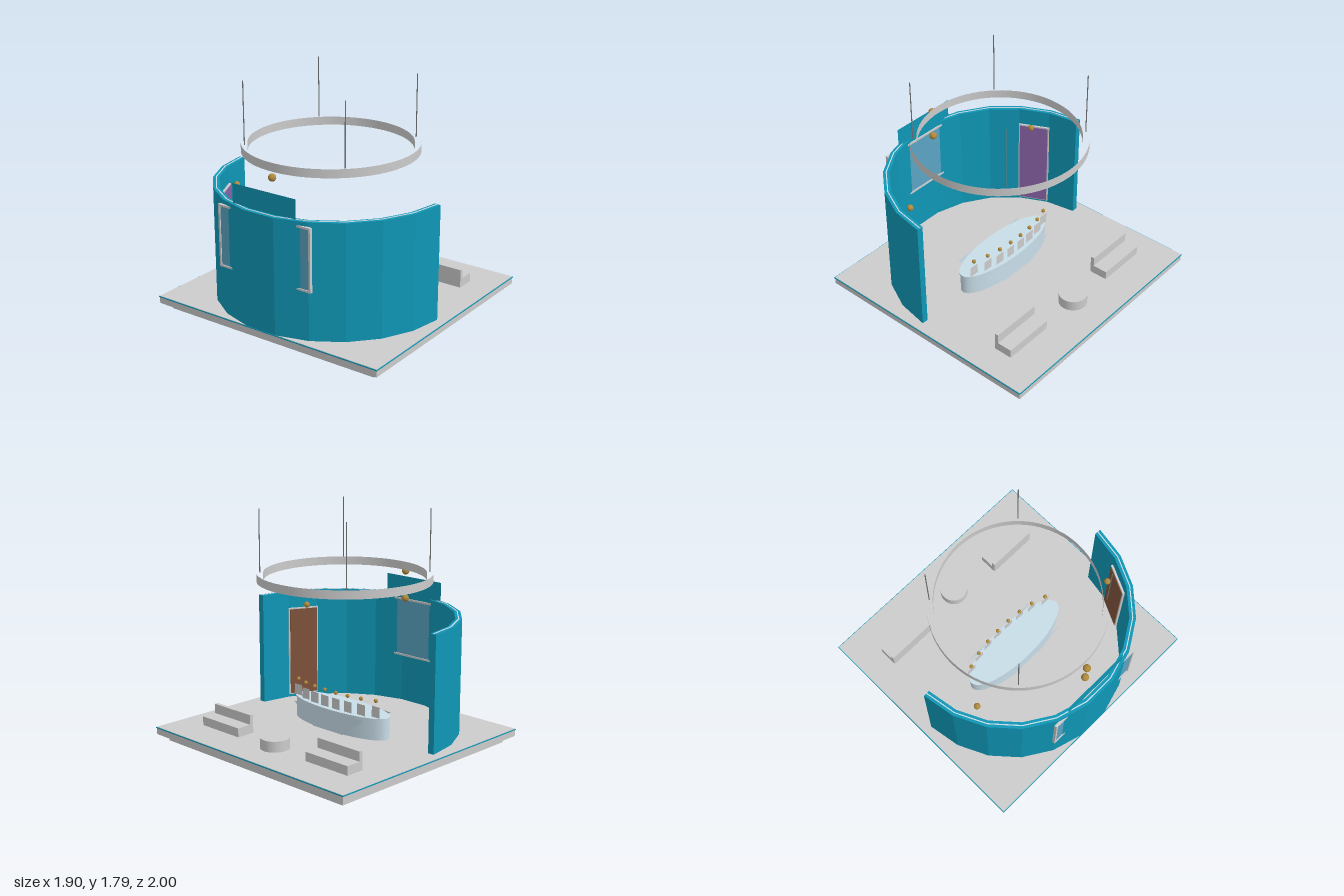
import * as THREE from 'three';

const mat = (color, side = THREE.FrontSide, flatShading = false) =>
  new THREE.MeshStandardMaterial({ color, side, flatShading });
const GREY = mat(0xcccccc);
const TEAL = mat(0x0f97b6);
const TEAL_THIN = mat(0x0f97b6, THREE.DoubleSide);
const PALE = mat(0xc8dde8);
const PALE_THIN = mat(0xc8dde8, THREE.DoubleSide);
const GOLD = mat(0xb08a3c, THREE.FrontSide, true);
const FLOOR = 0.11;

export function createModel() {
  const model = new THREE.Group();
  const add = (name, geo, material, x = 0, y = 0, z = 0, parent = model) => {
    const m = new THREE.Mesh(geo, material);
    m.name = name;
    m.position.set(x, y, z);
    parent.add(m);
    return m;
  };
  // Box given by its minimum and maximum corners
  const box = (name, material, [x0, y0, z0], [x1, y1, z1], parent) =>
    add(name, new THREE.BoxGeometry(x1 - x0, y1 - y0, z1 - z0), material,
      (x0 + x1) / 2, (y0 + y1) / 2, (z0 + z1) / 2, parent);
  const ball = (name, r, x, y, z) => add(name, new THREE.IcosahedronGeometry(r, 1), GOLD, x, y, z);

  // Stepped platform with a thin coloured edge
  box('plinth', GREY, [-0.88, 0, -0.93], [0.88, 0.05, 0.93]);
  box('floorSlab', GREY, [-0.945, 0.05, -0.995], [0.945, FLOOR, 0.995]);
  box('floorEdgeTrim', TEAL, [-0.95, 0.1, -1], [0.95, 0.107, 1]);

  // Faceted curved wall, open towards +x
  const wallX = -0.034, half = 1.54, sides = 11;
  const arcWall = (r0, r1, height) => {
    const pts = [];
    for (let i = 0; i <= sides; i++) {
      const a = Math.PI - half + (2 * half * i) / sides;
      pts.push(new THREE.Vector2(r1 * Math.cos(a), r1 * Math.sin(a)));
    }
    for (let i = sides; i >= 0; i--) {
      const a = Math.PI - half + (2 * half * i) / sides;
      pts.push(new THREE.Vector2(r0 * Math.cos(a), r0 * Math.sin(a)));
    }
    return new THREE.ExtrudeGeometry(new THREE.Shape(pts), { depth: height, bevelEnabled: false })
      .rotateX(-Math.PI / 2);
  };
  add('curvedWall', arcWall(0.875, 0.925, 0.89), TEAL, wallX, FLOOR, 0);
  add('wallTopStrip', arcWall(0.896, 0.904, 0.004), PALE, wallX, 1, 0);

  // Upright sign panel behind the wall's middle
  add('signPanel', new THREE.PlaneGeometry(0.56, 0.26).rotateY(Math.PI / 2), TEAL_THIN, -0.89, 1.02, 0);

  // Flat window passing through the wall
  const win = new THREE.Group();
  win.name = 'window';
  model.add(win);
  box('windowGlass', mat(0x5aa3c2), [-0.895, 0.5, -0.4], [-0.887, 0.96, 0.4], win);
  for (const y of [0.49, 0.955]) box('windowRail', GREY, [-0.903, y, -0.41], [-0.88, y + 0.015, 0.41], win);
  for (const z of [-0.41, 0.395]) box('windowPost', GREY, [-0.903, 0.49, z], [-0.88, 0.97, z + 0.015], win);

  // Framed coloured panels on the inner wall faces
  const panelAngle = (2 * half / sides) * 4;
  for (const [s, color] of [[1, 0x80553c], [-1, 0x8a62a8]]) {
    const a = s * panelAngle, g = new THREE.Group();
    g.name = 'wallPanel';
    g.position.set(wallX - 0.858 * Math.cos(a), 0.5, 0.858 * Math.sin(a));
    g.rotation.y = Math.atan2(Math.cos(a), -Math.sin(a));
    add('panelFrame', new THREE.BoxGeometry(0.25, 0.73, 0.016), GREY, 0, 0, 0, g);
    add('panelFace', new THREE.BoxGeometry(0.23, 0.71, 0.008), mat(color), 0, 0, 0.01, g);
    model.add(g);
  }

  // Oval counter with flat tapering side panels
  const oval = (rx, rz, h) => new THREE.CylinderGeometry(1, 1, h, 48).scale(rx, 1, rz);
  add('counterBody', oval(0.152, 0.472, 0.155), PALE, -0.068, 0.1875, 0);
  add('counterTop', oval(0.157, 0.48, 0.015), PALE, -0.068, 0.2725, 0);
  const sideShape = new THREE.Shape([[-0.16, FLOOR], [0.16, FLOOR], [0.365, 0.265], [-0.365, 0.265]]
    .map(p => new THREE.Vector2(...p)));
  for (const x of [-0.222, 0.086])
    add('counterSidePanel', new THREE.ShapeGeometry(sideShape).rotateY(Math.PI / 2), PALE_THIN, x, 0, 0);

  // Row of small cards with a gold bead over each
  const thinGrey = mat(0xcccccc, THREE.DoubleSide);
  [[0.058, 0.059], [0.05, 0.176], [0.03, 0.294], [-0.005, 0.411]].forEach(([x, z]) => {
    for (const s of [-1, 1]) {
      add('counterCard', new THREE.PlaneGeometry(0.08, 0.085).rotateY(Math.PI / 2), thinGrey, x, 0.327, s * z);
      ball('counterBead', 0.016, x, 0.415, s * z);
    }
  });

  // Larger gold wall lamps
  ball('lampUpper', 0.03, -0.79, 1.22, 0);
  ball('lampLower', 0.03, -0.79, 1.0, 0);
  for (const s of [-1, 1]) ball('panelLamp', 0.025, -0.37, 0.905, s * 0.69);

  // Benches and round table
  for (const s of [-1, 1]) {
    const bench = new THREE.Group();
    bench.name = 'bench';
    bench.position.z = s * 0.567;
    box('benchSeat', GREY, [0.52, FLOOR, -0.205], [0.67, 0.18, 0.205], bench);
    box('benchBack', GREY, [0.52, FLOOR, -0.205], [0.55, 0.255, 0.205], bench);
    model.add(bench);
  }
  add('roundTable', new THREE.CylinderGeometry(0.11, 0.11, 0.083, 32), GREY, 0.63, FLOOR + 0.0415, 0);

  // Hanging ring: outer and inner bands without caps, on four wires
  const band = r => new THREE.CylinderGeometry(r, r, 0.065, 64, 1, true);
  add('ringOuterBand', band(0.662), GREY, -0.1, 1.282, 0);
  add('ringInnerBand', band(0.612), mat(0xcccccc, THREE.BackSide), -0.1, 1.282, 0);
  for (const x of [-0.55, 0.35])
    for (const z of [-0.45, 0.45])
      add('ringWire', new THREE.CylinderGeometry(0.004, 0.004, 0.48, 8), mat(0x777777), x, 1.55, z);

  return model;
}
